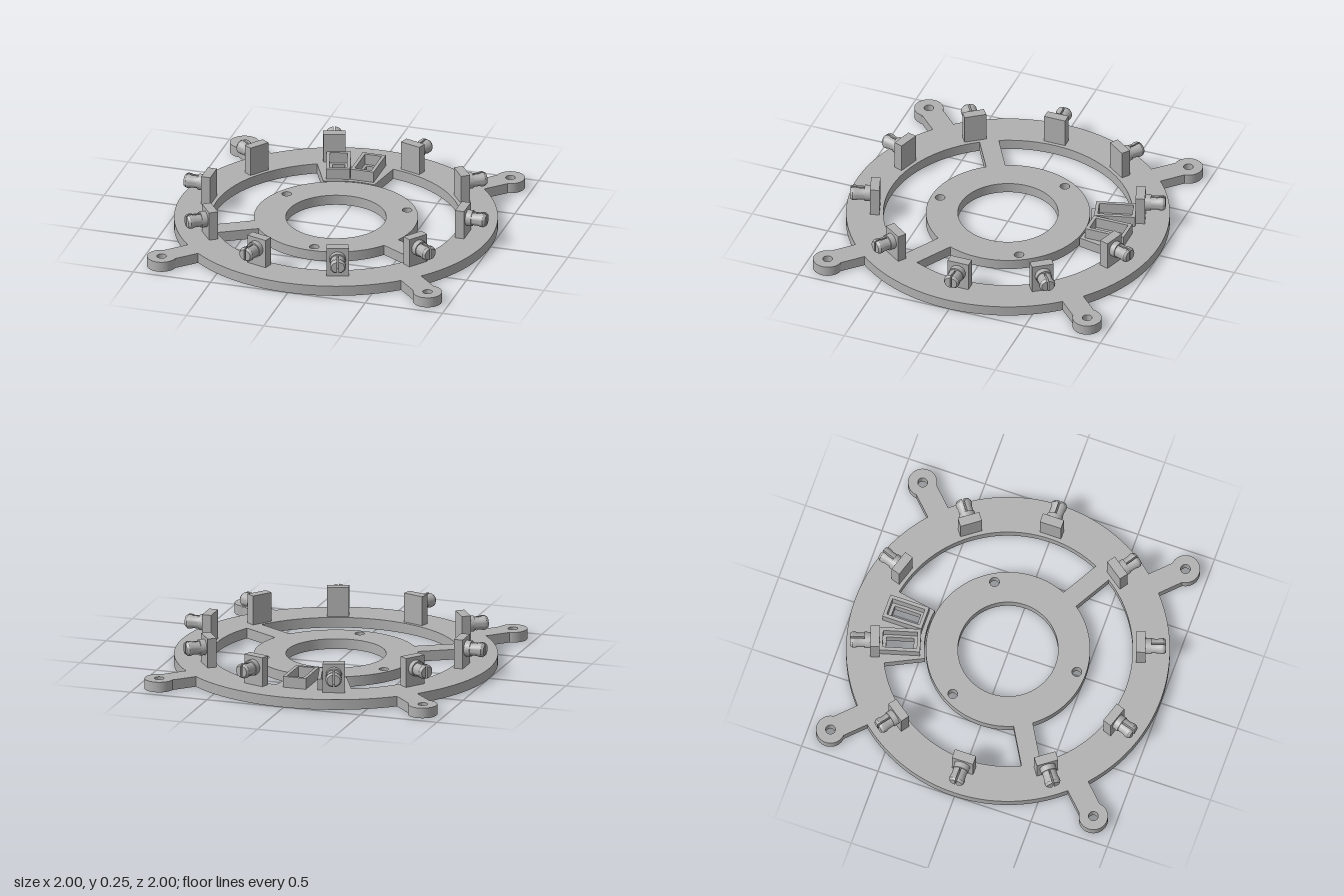
import * as THREE from 'three';
import { mergeGeometries, toCreasedNormals } from 'three/addons/utils/BufferGeometryUtils.js';

const T = 0.065; // plate thickness
const rad = THREE.MathUtils.degToRad;

export function createModel() {
  const model = new THREE.Group();
  const grey = new THREE.MeshStandardMaterial({ color: 0xb0b0b0 });
  grey.name = 'grey plastic';

  const add = (name, geometry, parent = model) => {
    const mesh = new THREE.Mesh(geometry, grey);
    mesh.name = name;
    parent.add(mesh);
    return mesh;
  };
  // Flat shape (x right, y towards the back) raised to a plate
  const plate = (shape, depth = T, y = 0) => {
    const g = new THREE.ExtrudeGeometry(shape, { depth, bevelEnabled: false, curveSegments: 72 });
    g.rotateX(-Math.PI / 2).translate(0, y, 0);
    return toCreasedNormals(g, 0.5);
  };
  const circle = (r, x = 0, y = 0) => new THREE.Path().absarc(x, y, r, 0, Math.PI * 2);
  const disc = (r) => new THREE.Shape().absarc(0, 0, r, 0, Math.PI * 2);
  // Rectangle centred at radius r in the direction of angle a
  const rectPoints = (r, a, length, width) =>
    [[-1, -1], [1, -1], [1, 1], [-1, 1]].map(([u, v]) =>
      new THREE.Vector2(r + u * length / 2, v * width / 2).rotateAround(new THREE.Vector2(), a));

  // Outer ring
  const ring = disc(1);
  ring.holes.push(circle(0.77));
  add('outerRing', plate(ring));

  // Hub with three screw holes
  const hub = disc(0.507);
  hub.holes.push(circle(0.31));
  for (const a of [30, 150, 270].map(rad)) {
    hub.holes.push(circle(0.03, 0.45 * Math.cos(a), 0.45 * Math.sin(a)));
  }
  add('hub', plate(hub));

  // Two spokes
  for (const a of [-30, 210].map(rad)) {
    add('spoke', plate(new THREE.Shape(rectPoints(0.635, a, 0.31, 0.12))));
  }

  // Four mounting ears
  const ear = new THREE.Shape();
  const earX = 1.216;
  const join = Math.atan2(0.07, -0.057);
  ear.moveTo(0.97, -0.07);
  ear.lineTo(earX - 0.057, -0.07);
  ear.absarc(earX, 0, 0.09, -join, join);
  ear.lineTo(0.97, 0.07);
  ear.closePath();
  ear.holes.push(circle(0.03, earX));
  const earGeometry = plate(ear);
  for (let i = 0; i < 4; i++) {
    add('mountingEar', earGeometry).rotation.y = rad(45 + 90 * i);
  }

  // Rear sector plate with two slots, just clear of the hub
  const socketAngles = [90, 106].map(rad);
  const sector = new THREE.Shape();
  sector.absarc(0, 0, 0.517, rad(80), rad(116));
  sector.absarc(0, 0, 0.775, rad(116), rad(80), true);
  sector.closePath();
  for (const a of socketAngles) sector.holes.push(new THREE.Path(rectPoints(0.668, a, 0.17, 0.075)));
  add('socketPlate', plate(sector));

  // Raised socket walls around the slots
  for (const a of socketAngles) {
    const wall = new THREE.Shape(rectPoints(0.668, a, 0.255, 0.15));
    wall.holes.push(new THREE.Path(rectPoints(0.668, a, 0.212, 0.107)));
    add('socketWall', plate(wall, 0.07, T));
  }

  // Half of a split snap pin: half a lathe closed by its flat face
  const profile = [[0, 0], [0.04, 0], [0.04, 0.042], [0.045, 0.058], [0.045, 0.075], [0.035, 0.09], [0, 0.09]]
    .map(([x, y]) => new THREE.Vector2(x, y));
  const halfRound = new THREE.LatheGeometry(profile, 16, -Math.PI / 2, Math.PI);
  const outline = [...profile, ...profile.slice(1, -1).reverse().map((p) => new THREE.Vector2(-p.x, p.y))];
  const flat = new THREE.ShapeGeometry(new THREE.Shape(outline)).rotateY(Math.PI);
  const halfPin = toCreasedNormals(mergeGeometries([halfRound, flat]), 0.5);
  halfPin.rotateZ(-Math.PI / 2).translate(0, 0, 0.005);

  const block = new THREE.BoxGeometry(0.058, 0.187, 0.138).translate(0.821, T + 0.0925, 0);
  const collar = new THREE.CylinderGeometry(0.05, 0.05, 0.036, 28).rotateZ(Math.PI / 2);

  // Ten brackets with outward pins
  for (let i = 0; i < 10; i++) {
    const bracket = new THREE.Group();
    bracket.name = 'bracket';
    bracket.rotation.y = rad(36 * i);
    add('bracketBlock', block, bracket);
    add('pinCollar', collar, bracket).position.set(0.868, 0.18, 0);
    for (const turn of [0, Math.PI]) {
      const half = add('pinHalf', halfPin, bracket);
      half.position.set(0.885, 0.18, 0);
      half.rotation.x = turn;
    }
    model.add(bracket);
  }
  return model;
}
